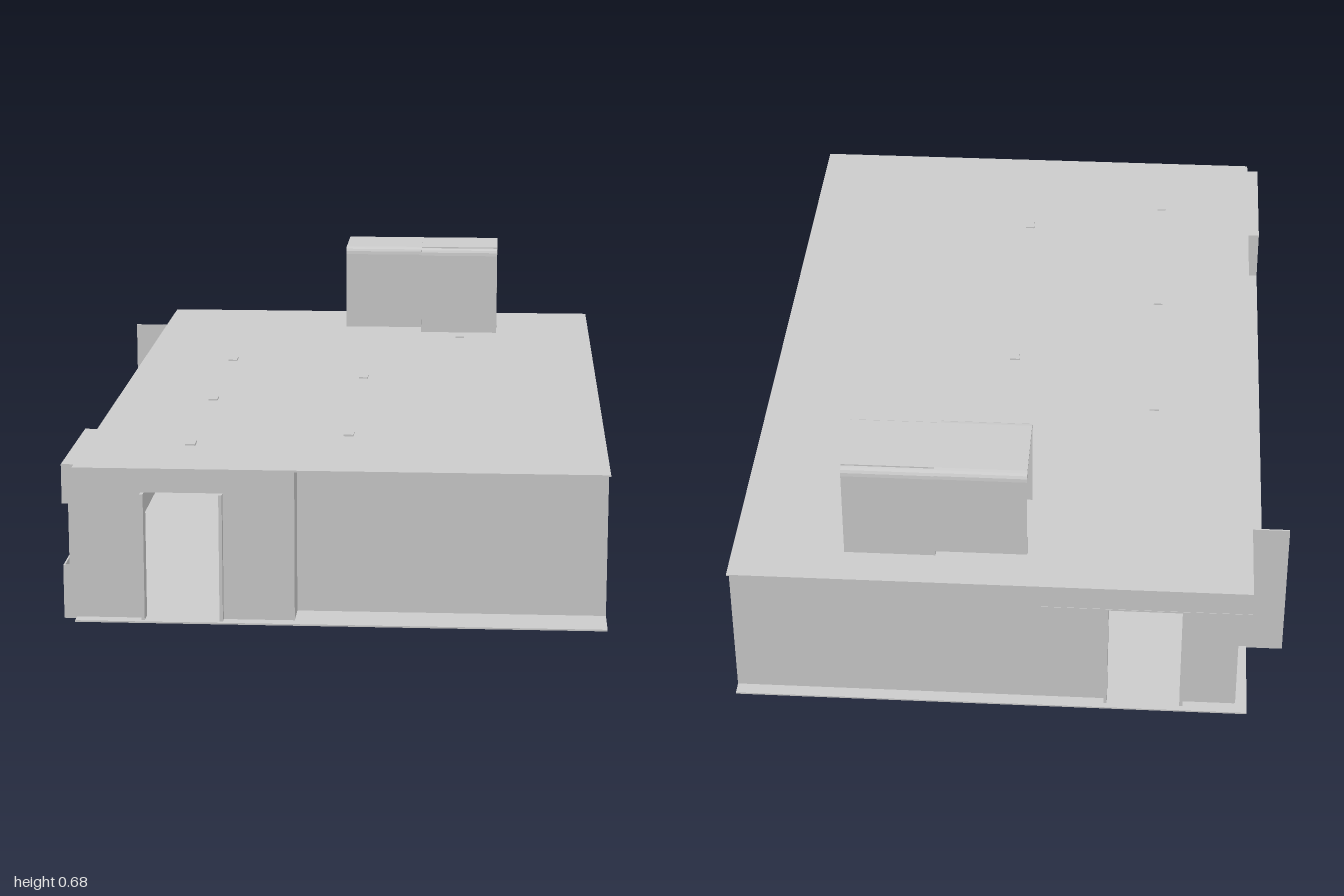
import * as THREE from 'three';

export function createModel() {
  const model = new THREE.Group();
  const mat = new THREE.MeshStandardMaterial({ color: 0xcccccc, flatShading: true, side: THREE.DoubleSide });
  const LOW = 0.05, HIGH = 0.425, HEAD = 0.36, T = 0.004;

  // box given by its extents on each axis
  function block(name, x0, x1, y0, y1, z0, z1) {
    const mesh = new THREE.Mesh(new THREE.BoxGeometry(x1 - x0, y1 - y0, z1 - z0), mat);
    mesh.name = name;
    mesh.position.set((x0 + x1) / 2, (y0 + y1) / 2, (z0 + z1) / 2);
    model.add(mesh);
    return mesh;
  }
  // thin walls across x (facing z) and along z (facing x)
  const wallX = (name, x0, x1, z, y0 = LOW, y1 = HIGH) => block(name, x0, x1, y0, y1, z - T / 2, z + T / 2);
  const wallZ = (name, x, z0, z1, y0 = LOW, y1 = HIGH) => block(name, x - T / 2, x + T / 2, y0, y1, z0, z1);

  // floor and roof sheets, each with the bay on the front corner
  for (const [name, y] of [['floor', LOW], ['roof', HIGH - T]]) {
    block(name, -0.58, 0.67, y, y + T, -1, 1);
    block(name + 'Bay', -0.61, -0.58, y, y + T, 0.61, 0.97);
  }

  // front: entrance with lintel, then a set-back wall
  wallX('frontCornerWall', -0.595, -0.42, 0.968);
  wallX('frontCornerSill', -0.61, -0.595, 0.968, LOW, 0.18);
  wallX('frontCornerHead', -0.61, -0.595, 0.968, 0.33, HIGH);
  wallX('frontEntranceWall', -0.235, -0.065, 0.968);
  wallX('frontLintel', -0.42, -0.235, 0.968, HEAD, HIGH);
  wallZ('frontReturnWall', -0.065, 0.89, 0.97);
  wallX('frontRecessedWall', -0.065, 0.67, 0.89);

  // back: long wall, doorway and canopy
  wallX('backWall', -0.235, 0.67, -0.965);
  wallX('backCornerWall', -0.55, -0.42, -0.965);
  wallX('backLintel', -0.42, -0.235, -0.965, HEAD, HIGH);
  block('backCanopy', -0.58, -0.065, HEAD, HEAD + T, -1, -0.965);
  wallX('backCanopyFascia', -0.58, -0.065, -0.997, HEAD, HIGH);

  // jambs of the two end doorways
  for (const z of [0.97, -0.965])
    for (const x of [-0.42, -0.235]) block('entranceJamb', x - 0.004, x + 0.004, LOW, HEAD, z - 0.02, z + 0.02);

  // right side: wall with two doors between projecting jambs
  wallZ('rightWall', 0.64, -0.965, 0.89);
  for (const [z0, z1] of [[0.53, 0.72], [-0.69, -0.5]]) {
    for (const z of [z0, z1]) wallX('sideDoorJamb', 0.64, 0.665, z);
    block('sideDoorHead', 0.64, 0.662, HEAD - T, HEAD, z0, z1);
  }

  // left side: wall, fin, long planter and bay with a corner window
  wallZ('leftWall', -0.55, -0.965, 0.61);
  wallX('leftFin', -0.67, -0.55, -0.75);
  block('leftPlanter', -0.61, -0.55, 0.13, 0.29, -0.75, 0.61);
  wallX('bayEndWall', -0.61, -0.55, 0.61);
  wallZ('baySill', -0.608, 0.61, 0.97, LOW, 0.18);
  wallZ('bayHead', -0.608, 0.61, 0.97, 0.33, HIGH);
  wallZ('bayPier', -0.608, 0.61, 0.66, 0.18, 0.33);

  // rooftop unit: a round-shouldered closed half and an open hood half
  const zc = -0.79, w = 0.11, top = 0.675, r = 0.02;
  function outline(shape, half, bottom, peak, rad) {
    shape.moveTo(-half, bottom);
    shape.lineTo(-half, peak - rad);
    shape.quadraticCurveTo(-half, peak, -half + rad, peak);
    shape.lineTo(half - rad, peak);
    shape.quadraticCurveTo(half, peak, half, peak - rad);
    shape.lineTo(half, bottom);
    return shape;
  }
  function extrudeAlongX(name, shape, x0, x1) {
    const geo = new THREE.ExtrudeGeometry(shape, { depth: x1 - x0, bevelEnabled: false, curveSegments: 4 });
    geo.rotateY(Math.PI / 2);
    const mesh = new THREE.Mesh(geo, mat);
    mesh.name = name;
    mesh.position.set(x0, 0, zc);
    model.add(mesh);
  }
  extrudeAlongX('rooftopCabinet', outline(new THREE.Shape(), w - 0.003, HIGH, top - 0.003, r), 0.18, 0.4);
  const hood = outline(new THREE.Shape(), w, 0.44, top, r);
  const i = w - 0.005, p = top - 0.005;
  hood.lineTo(i, 0.44);
  hood.lineTo(i, p - r);
  hood.quadraticCurveTo(i, p, i - r, p);
  hood.lineTo(-i + r, p);
  hood.quadraticCurveTo(-i, p, -i, p - r);
  hood.lineTo(-i, 0.44);
  extrudeAlongX('rooftopHood', hood, -0.04, 0.18);
  block('rooftopCover', 0.18, 0.4, top - 0.005, top, zc - w + r, zc + w - r);

  // small roof outlets
  const outlets = [[-0.33, 0.75], [-0.33, 0.25], [-0.33, -0.25], [0.045, 0.63], [0.045, -0.04], [0.295, -0.62]];
  for (const [x, z] of outlets) block('roofOutlet', x - 0.012, x + 0.012, HIGH, HIGH + 0.004, z - 0.02, z + 0.02);

  // drain stubs under the floor
  for (const x of [0.06, 0.28]) block('drainStub', x - 0.015, x + 0.015, 0, LOW, 0.4, 0.43);

  return model;
}
